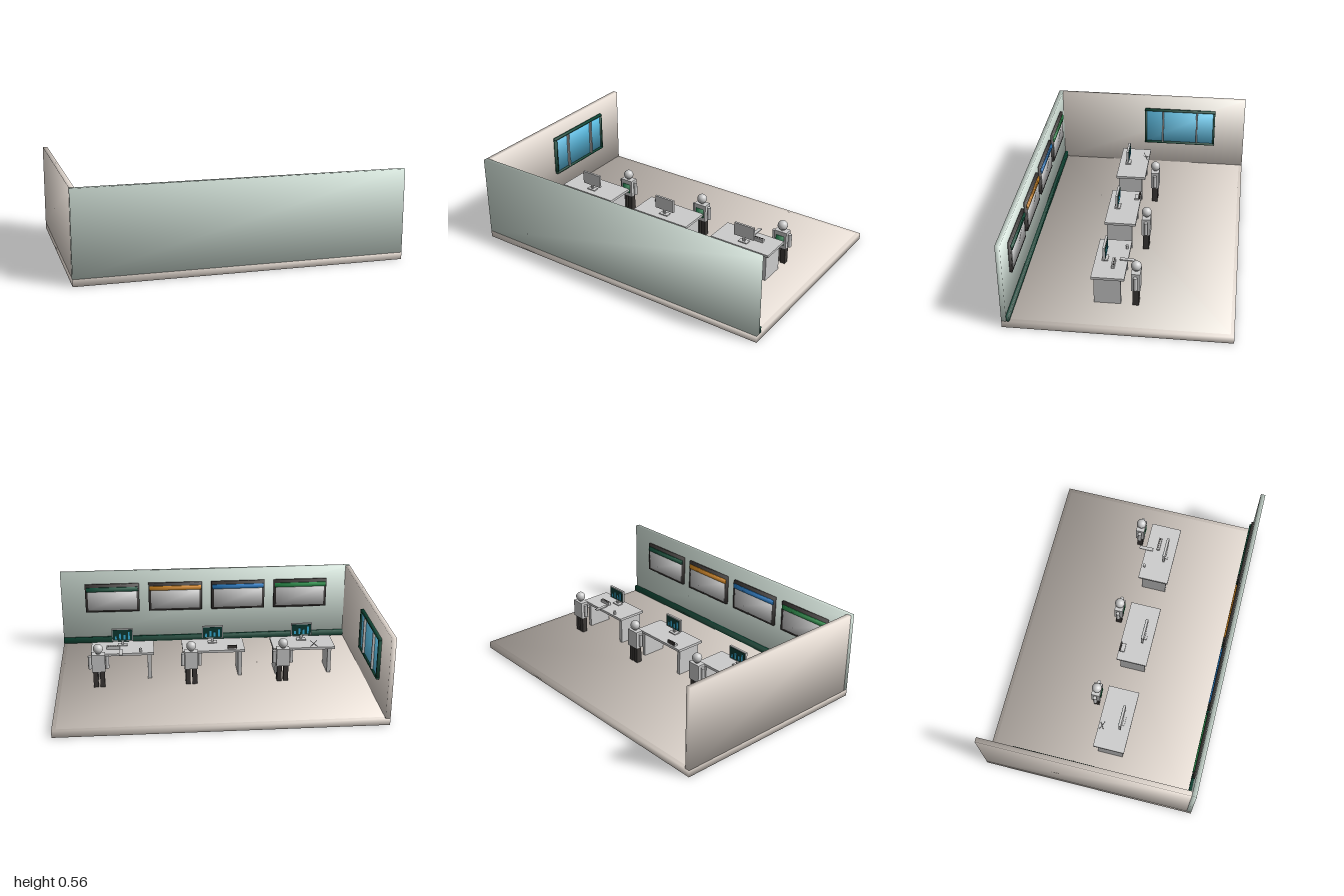
import * as THREE from 'three';

const material = (color) => new THREE.MeshStandardMaterial({ color });
const mats = {
  grey: material(0xcccccc), cream: material(0xf0e6dd), base: material(0xe2d8cf), mint: material(0xd3e2d9),
  green: material(0x0e4a38), dark: material(0x3c3836), glass: material(0x62c8f0),
  screen: material(0x0d3b33), cyan: material(0x39b5e0), apron: material(0x14804a),
};

function add(parent, name, geometry, mat, x, y, z) {
  const mesh = new THREE.Mesh(geometry, mat);
  mesh.name = name;
  mesh.position.set(x, y, z);
  parent.add(mesh);
  return mesh;
}

// Box given by its ranges along x, y and z
function box(parent, name, mat, x0, x1, y0, y1, z0, z1) {
  return add(parent, name, new THREE.BoxGeometry(x1 - x0, y1 - y0, z1 - z0), mat,
    (x0 + x1) / 2, (y0 + y1) / 2, (z0 + z1) / 2);
}

// Box whose corner normals point diagonally outward, so shading runs smoothly over its edges
function softBox(...args) {
  const mesh = box(...args);
  const { position, normal } = mesh.geometry.attributes;
  const n = new THREE.Vector3();
  for (let i = 0; i < position.count; i++) {
    n.set(Math.sign(position.getX(i)), Math.sign(position.getY(i)), Math.sign(position.getZ(i))).normalize();
    normal.setXYZ(i, n.x, n.y, n.z);
  }
  return mesh;
}

function group(parent, name, x = 0, y = 0, z = 0) {
  const g = new THREE.Group();
  g.name = name;
  g.position.set(x, y, z);
  parent.add(g);
  return g;
}

const FLOOR = 0.0445;
const TOP = 0.235;

function makeRoom(root) {
  const room = group(root, 'room');
  softBox(room, 'base', mats.base, -1, 1, 0, 0.043, -0.665, 0.665);
  softBox(room, 'floor', mats.cream, -0.975, 0.975, 0.03, FLOOR, -0.643, 0.643);
  softBox(room, 'frontWall', mats.mint, -1, 1, 0.043, 0.56, 0.636, 0.665);
  softBox(room, 'sideWall', mats.cream, -1, -0.97, 0.043, 0.56, -0.665, 0.636);
  softBox(room, 'baseboard', mats.green, -0.97, 1, FLOOR, 0.083, 0.618, 0.636);
}

function makeWindow(root) {
  const win = group(root, 'window');
  const [z0, z1, y0, y1, t] = [-0.457, 0.042, 0.203, 0.468, 0.013];
  softBox(win, 'glass', mats.glass, -0.97, -0.96, y0 + t, y1 - t, z0 + t, z1 - t);
  for (const y of [y0, y1 - t]) softBox(win, 'frameRail', mats.green, -0.97, -0.95, y, y + t, z0, z1);
  for (const z of [z0, z1 - t]) softBox(win, 'frameStile', mats.green, -0.97, -0.95, y0 + t, y1 - t, z, z + t);
  for (const z of [-0.087, -0.328]) {
    box(win, 'mullion', mats.grey, -0.96, -0.945, y0 + t, y1 - t, z - 0.005, z + 0.005);
  }
}

// Wall board with a coloured header, facing -z
function makeBoard(root, x, color) {
  const board = group(root, 'wallBoard', x);
  softBox(board, 'boardFrame', mats.dark, -0.185, 0.185, 0.272, 0.473, 0.62, 0.636);
  softBox(board, 'boardPanel', mats.grey, -0.168, 0.168, 0.287, 0.42, 0.617, 0.62);
  softBox(board, 'boardHeader', material(color), -0.177, 0.177, 0.423, 0.452, 0.611, 0.62);
}

function makeMonitor(desk) {
  const monitor = group(desk, 'monitor');
  box(monitor, 'monitorFoot', mats.grey, -0.03, 0.03, TOP, TOP + 0.006, 0.1, 0.138);
  box(monitor, 'monitorStand', mats.grey, -0.008, 0.008, TOP, 0.28, 0.115, 0.125);
  box(monitor, 'monitorBody', mats.grey, -0.068, 0.068, 0.266, 0.35, 0.111, 0.125);
  box(monitor, 'monitorScreen', mats.screen, -0.062, 0.062, 0.272, 0.344, 0.109, 0.111);
  // Chart bars on the screen
  [0.022, 0.04, 0.03, 0.05].forEach((h, i) => {
    const x = 0.042 - i * 0.028;
    box(monitor, 'chartBar', mats.cyan, x - 0.006, x + 0.006, 0.279, 0.279 + h, 0.107, 0.109);
  });
}

function makeDesk(root, x) {
  const desk = group(root, 'desk', x);
  box(desk, 'deskTop', mats.grey, -0.2, 0.2, 0.219, TOP, -0.018, 0.178);
  for (const s of [-1, 1]) {
    const c = s * 0.17;
    box(desk, 'deskSide', mats.grey, c - 0.012, c + 0.012, FLOOR, 0.219, 0.005, 0.164);
  }
  makeMonitor(desk);
  return desk;
}

function makePerson(root, x) {
  const person = group(root, 'person', x, 0, -0.083);
  add(person, 'head', new THREE.SphereGeometry(0.031, 24, 16), mats.grey, 0, 0.301, 0);
  add(person, 'neck', new THREE.CylinderGeometry(0.012, 0.012, 0.02, 12), mats.grey, 0, 0.268, 0);
  box(person, 'torso', mats.grey, -0.042, 0.042, 0.152, 0.268, -0.027, 0.027);
  softBox(person, 'apron', mats.apron, -0.028, 0.028, 0.18, 0.24, 0.027, 0.029);
  for (const s of [-1, 1]) {
    add(person, 'arm', new THREE.CylinderGeometry(0.012, 0.012, 0.085, 12), mats.grey, s * 0.054, 0.21, 0);
    const c = s * 0.021;
    box(person, 'leg', mats.dark, c - 0.015, c + 0.015, FLOOR, 0.152, -0.018, 0.018);
  }
}

export function createModel() {
  const root = new THREE.Group();
  root.name = 'officeRoom';
  makeRoom(root);
  makeWindow(root);
  [[-0.653, 0x2a9a50], [-0.218, 0x2583d0], [0.217, 0xe09020], [0.652, 0x145a42]]
    .forEach(([x, color]) => makeBoard(root, x, color));

  const desks = [-0.583, 0, 0.583].map((x) => makeDesk(root, x));
  [-0.434, 0.15, 0.734].forEach((x) => makePerson(root, x));

  // Crossed tools on the first desk
  for (const s of [-1, 1]) {
    const tool = add(desks[0], 'crossedTool', new THREE.CylinderGeometry(0.002, 0.002, 0.06, 8),
      mats.grey, -0.065, TOP + 0.018, 0.005);
    tool.quaternion.setFromUnitVectors(new THREE.Vector3(0, 1, 0),
      new THREE.Vector3(s * 0.75, 0.5, 0.45).normalize());
  }
  // Small device on the second desk
  box(desks[1], 'device', mats.grey, -0.145, -0.09, TOP, TOP + 0.012, -0.008, 0.02);
  box(desks[1], 'deviceBar', mats.dark, -0.148, -0.087, TOP + 0.01, TOP + 0.03, -0.014, -0.005);
  // Printer, paper strip and cup on the third desk
  box(desks[2], 'printer', mats.grey, 0.018, 0.102, TOP, TOP + 0.02, 0.052, 0.072);
  for (let i = 0; i < 5; i++) {
    const x = 0.026 + i * 0.015;
    box(desks[2], 'printerKey', mats.dark, x, x + 0.009, TOP + 0.02, TOP + 0.023, 0.056, 0.064);
  }
  const strip = box(desks[2], 'paperStrip', mats.grey, 0, 0.022, TOP + 0.004, TOP + 0.01, -0.06, 0.03);
  strip.rotation.x = -0.05;
  add(desks[2], 'cup', new THREE.CylinderGeometry(0.009, 0.008, 0.024, 16), mats.grey, -0.115, TOP + 0.012, 0.002);
  return root;
}
